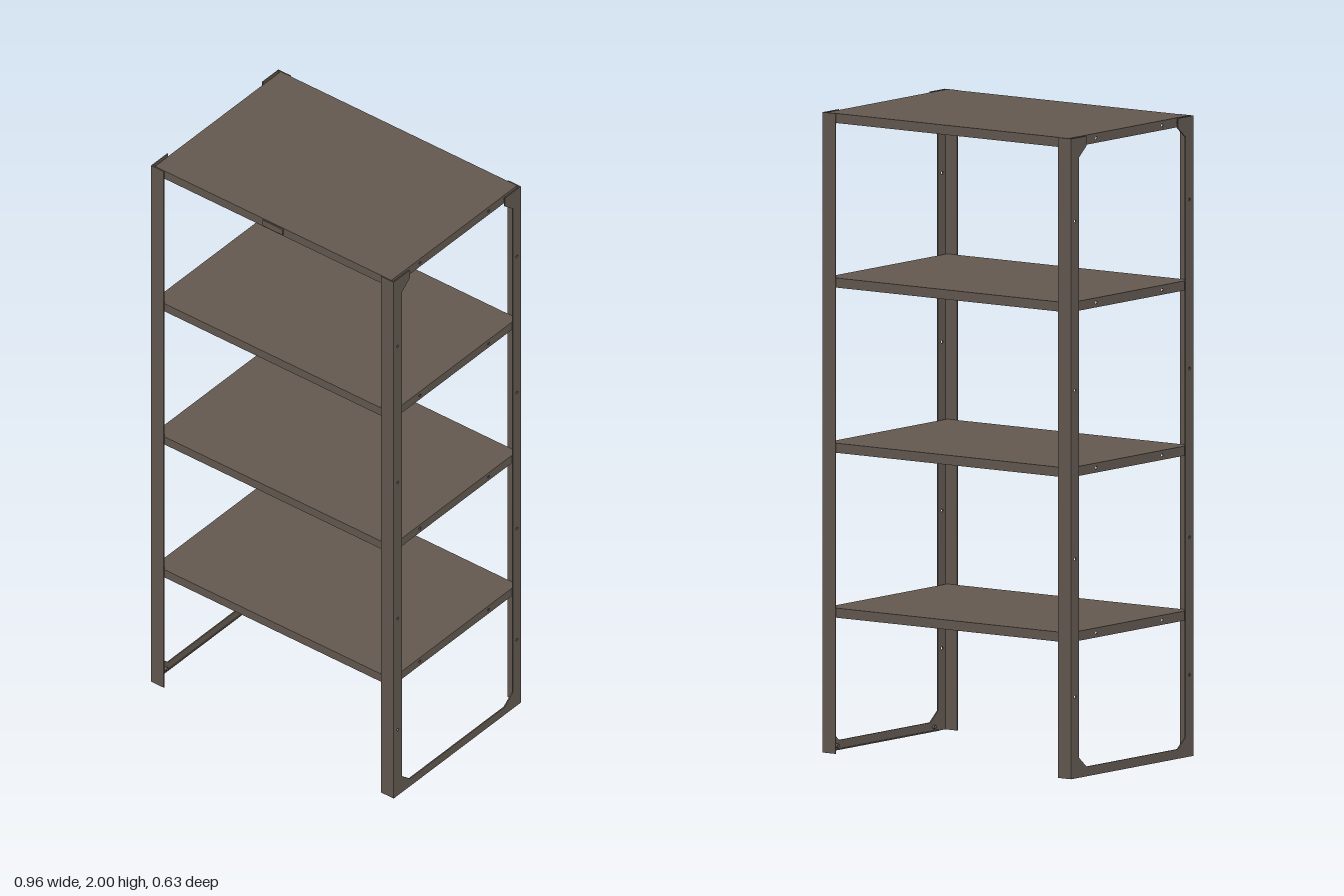
import * as THREE from 'three';

export function createModel() {
  const model = new THREE.Group();
  const steel = new THREE.MeshStandardMaterial({ color: 0x635950 });
  steel.name = 'brown painted steel';

  const add = (parent, name, geometry, x = 0, y = 0, z = 0) => {
    const mesh = new THREE.Mesh(geometry, steel);
    mesh.name = name;
    mesh.position.set(x, y, z);
    parent.add(mesh);
    return mesh;
  };
  const box = (parent, name, w, h, d, x, y, z) =>
    add(parent, name, new THREE.BoxGeometry(w, h, d), x, y, z);

  // Sheet outlined in the z-y plane, with round holes, thickened along x about its middle
  const sidePlate = (points, holes, thickness) => {
    const shape = new THREE.Shape(points.map(([z, y]) => new THREE.Vector2(z, y)));
    for (const [z, y] of holes) shape.holes.push(new THREE.Path().absarc(z, y, 0.005, 0, Math.PI * 2, true));
    return new THREE.ExtrudeGeometry(shape, { depth: thickness, bevelEnabled: false, curveSegments: 6 })
      .translate(0, 0, -thickness / 2).rotateY(Math.PI / 2);
  };

  // Shelves: hollow trays with folded rims and lips
  const W = 0.468, D = 0.311, H = 0.03, T = 0.003, LIP = 0.015;
  const rimGeometry = sidePlate(
    [[-D, -H], [D, -H], [D, 0], [-D, 0]], [[-0.17, -H / 2], [0.17, -H / 2]], T);
  for (const top of [0.455, 0.97, 1.486, 2]) {
    const shelf = new THREE.Group();
    shelf.name = 'shelf';
    shelf.position.y = top;
    box(shelf, 'shelfTop', 2 * W, T, 2 * D, 0, -T / 2, 0);
    for (const s of [-1, 1]) {
      add(shelf, 'sideRim', rimGeometry, s * (W - T / 2));
      box(shelf, 'longRim', 2 * W, H, T, 0, -H / 2, s * (D - T / 2));
      box(shelf, 'sideLip', LIP, T, 2 * D, s * (W - LIP / 2), -H + T / 2, 0);
      box(shelf, 'longLip', 2 * W, T, LIP, 0, -H + T / 2, s * (D - LIP / 2));
    }
    model.add(shelf);
  }
  // Small plate on the front edge of the top shelf
  box(model, 'frontPlate', 0.08, 0.022, 0.003, 0, 1.985, D + 0.0015);

  // End frames: angle posts joined by a bottom rail, with corner gussets
  const half = [
    [0.315, 0], [0.315, 2], [0.235, 2], [0.235, 1.97], [0.275, 1.937],
    [0.275, 0.063], [0.235, 0.03],
  ];
  const outline = [...half, ...half.map(([z, y]) => [-z, y]).reverse()];
  const holes = [];
  for (const y of [0.255, 0.685, 1.212, 1.74]) holes.push([0.295, y], [-0.295, y]);
  const frameGeometry = sidePlate(outline, holes, 0.004);
  const bolt = new THREE.CylinderGeometry(0.006, 0.006, 0.012, 8).rotateZ(Math.PI / 2);

  for (const sx of [-1, 1]) {
    const frame = new THREE.Group();
    frame.name = sx > 0 ? 'leftEndFrame' : 'rightEndFrame';
    add(frame, 'sideFrame', frameGeometry, sx * 0.478);
    box(frame, 'bottomRailFold', 0.007, 0.004, 0.55, sx * 0.4765, 0.002, 0);
    for (const sz of [-1, 1]) {
      // Broad flange of the angle post
      box(frame, 'postFlange', 0.05, 2, 0.003, sx * 0.455, 1, sz * 0.3135);
      for (const y of [0.44, 0.955, 1.471, 1.985])
        add(frame, 'shelfBolt', bolt, sx * 0.473, y, sz * 0.293);
      for (const y of [0.015, 1.985]) add(frame, 'cornerBolt', bolt, sx * 0.473, y, sz * 0.25);
    }
    model.add(frame);
  }
  return model;
}
